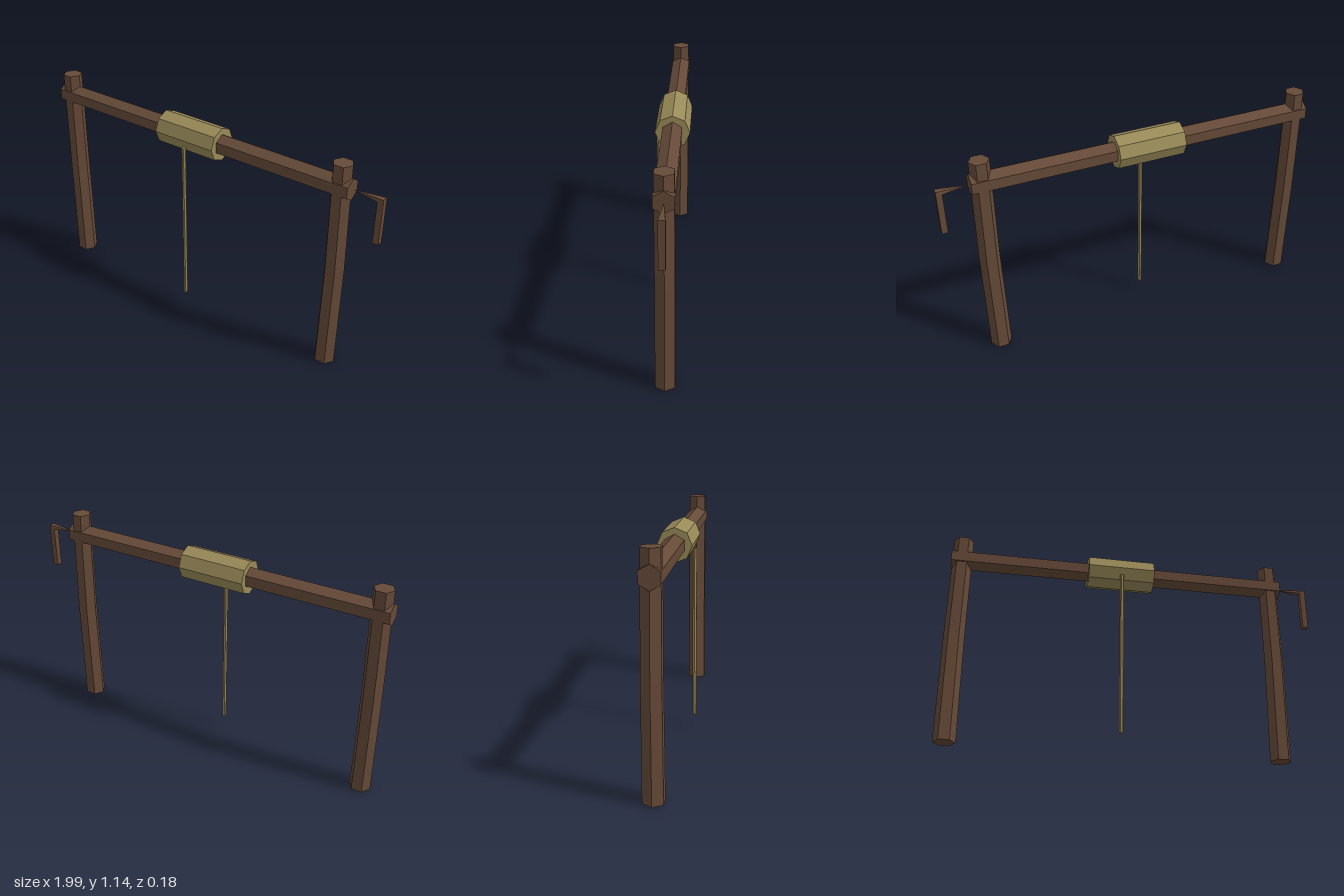
import * as THREE from 'three';

const wood = new THREE.MeshStandardMaterial({ color: 0x664a38, flatShading: true });
wood.name = 'brown wood';
const hemp = new THREE.MeshStandardMaterial({ color: 0x998a58, flatShading: true });
hemp.name = 'olive rope';

function addMesh(group, name, geometry, material) {
  const mesh = new THREE.Mesh(geometry, material);
  mesh.name = name;
  group.add(mesh);
  return mesh;
}

// Hexagonal prism along y with corners pointing to +x and -x
function hexPrism(top, bottom, height, rows = 1) {
  return new THREE.CylinderGeometry(top, bottom, height, 6, rows).rotateY(Math.PI / 6);
}

// Slightly tapered post whose middle ring is nudged sideways
function postGeometry(bend) {
  const height = 1.145;
  const g = hexPrism(0.051, 0.056, height, 2).translate(0, height / 2, 0);
  const p = g.attributes.position;
  for (let i = 0; i < p.count; i++) {
    const y = p.getY(i);
    if (y > 0.4 && y < 0.8) {
      p.setX(i, p.getX(i) + bend);
      p.setZ(i, p.getZ(i) - 0.002);
    }
  }
  return g;
}

// Four-cornered rod through [outerX, outerY, innerX, innerY, halfDepth] sections
function crankGeometry(sections) {
  const points = [], index = [];
  for (const [ox, oy, ix, iy, d] of sections) {
    points.push(ox, oy, d, ox, oy, -d, ix, iy, -d, ix, iy, d);
  }
  for (let s = 0; s < sections.length - 1; s++) {
    for (let k = 0; k < 4; k++) {
      const a = s * 4 + k, b = s * 4 + (k + 1) % 4;
      index.push(a, a + 4, b + 4, a, b + 4, b);
    }
  }
  const e = (sections.length - 1) * 4;
  index.push(0, 1, 2, 0, 2, 3, e, e + 2, e + 1, e, e + 3, e + 2);
  const g = new THREE.BufferGeometry();
  g.setAttribute('position', new THREE.Float32BufferAttribute(points, 3));
  g.setIndex(index);
  g.computeVertexNormals();
  return g;
}

export function createModel() {
  const model = new THREE.Group();
  model.name = 'windlass';

  // Upright posts
  addMesh(model, 'rightPost', postGeometry(-0.004), wood).position.x = -0.939;
  addMesh(model, 'leftPost', postGeometry(0.007), wood).position.x = 0.776;

  // Cross beam
  const beam = hexPrism(0.056, 0.056, 1.83).rotateZ(Math.PI / 2);
  addMesh(model, 'beam', beam, wood).position.set(-0.081, 1.025, 0);

  // Rope wound round the beam, and its hanging end
  const coil = new THREE.CylinderGeometry(0.088, 0.088, 0.36, 8).rotateZ(Math.PI / 2);
  addMesh(model, 'ropeCoil', coil, hemp).position.set(-0.081, 1.025, 0);
  addMesh(model, 'hangingRope', hexPrism(0.0115, 0.0115, 0.905), hemp).position.set(-0.081, 0.53, 0.081);

  // Crank: pointed arm turning down into the grip
  const crank = crankGeometry([
    [0.845, 1.027, 0.845, 1.025, 0.001],
    [0.997, 1.034, 0.967, 1.015, 0.016],
    [0.998, 0.797, 0.967, 0.797, 0.016],
  ]);
  addMesh(model, 'crankHandle', crank, wood).position.z = -0.002;

  return model;
}
